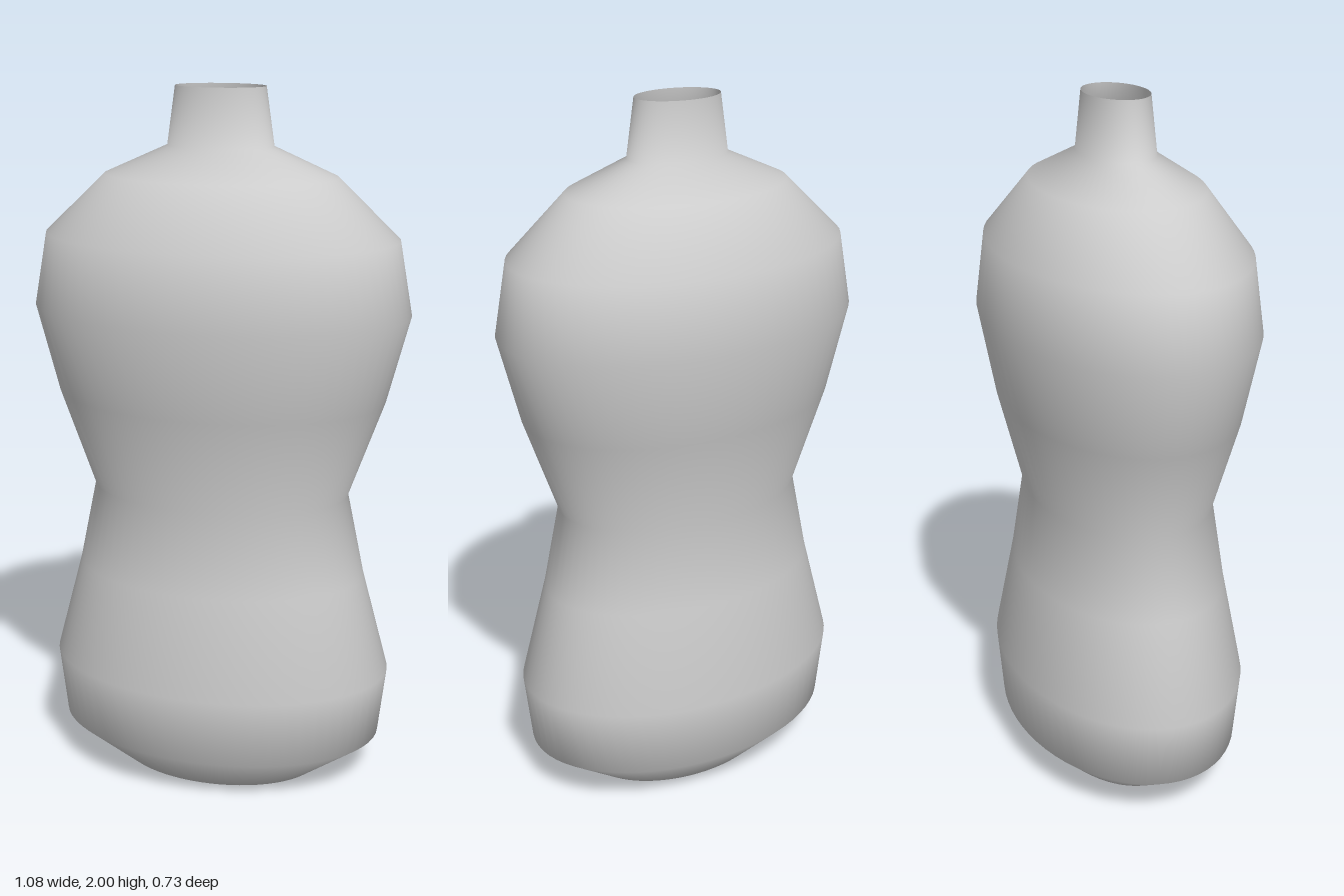
import * as THREE from 'three';

export function createModel() {
  const model = new THREE.Group();
  const grey = new THREE.MeshStandardMaterial({ color: 0xcccccc, side: THREE.DoubleSide });
  grey.name = 'plain grey';

  // Half-width and height, from the middle of the base to the open mouth
  const profile = [
    [0, 0], [0.3, 0], [0.48, 0.13], [0.503, 0.33], [0.425, 0.62], [0.375, 0.86],
    [0.475, 1.14], [0.54, 1.39], [0.503, 1.595], [0.33, 1.76], [0.15, 1.84], [0.127, 2],
  ].map(([x, y]) => new THREE.Vector2(x, y));

  // Smooth turned shell, flattened front to back into an oval
  const geometry = new THREE.LatheGeometry(profile, 64);
  geometry.scale(1, 1, 0.68);

  const bottle = new THREE.Mesh(geometry, grey);
  bottle.name = 'bottle';
  model.add(bottle);
  return model;
}
